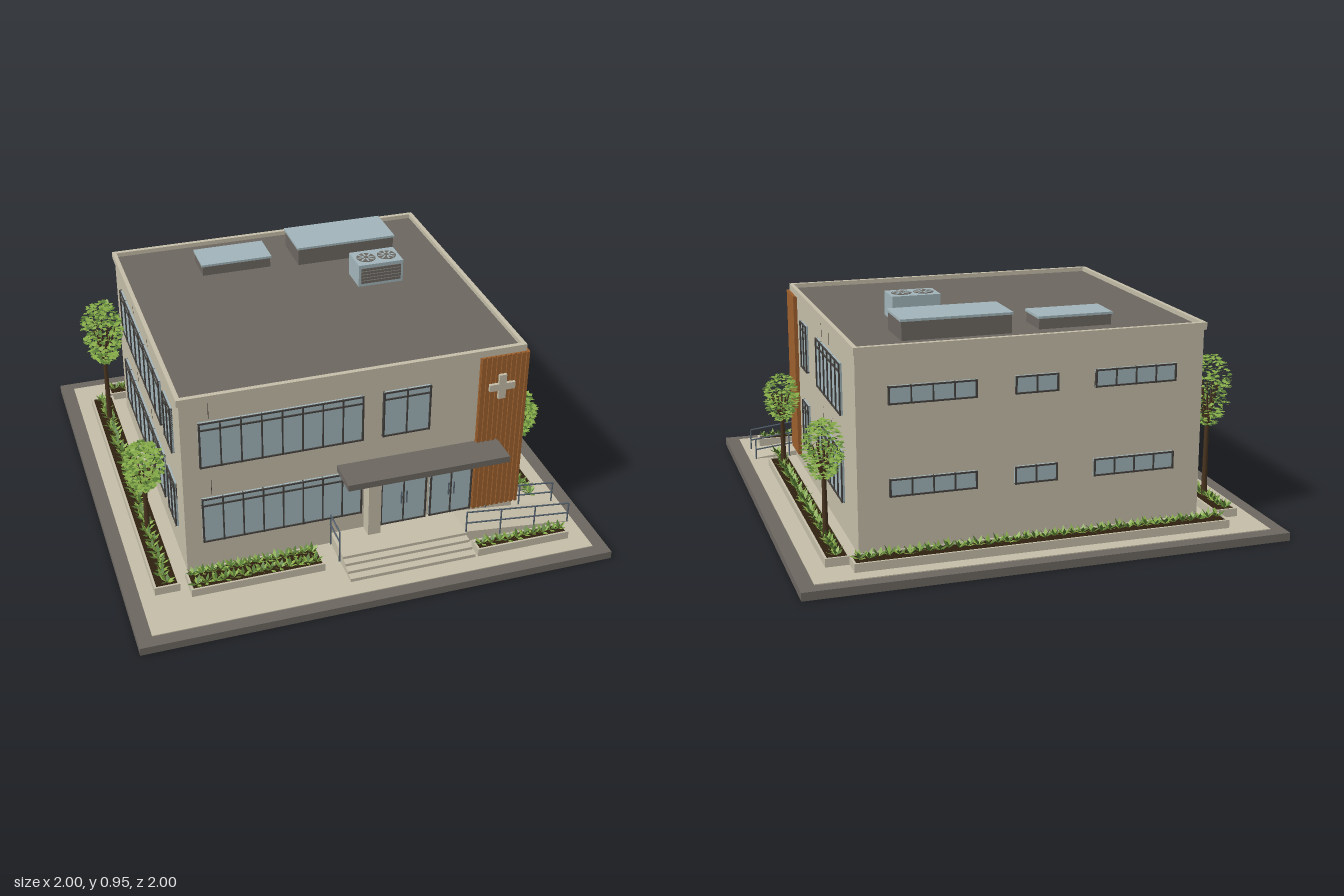
import * as THREE from 'three';

const mat = (name, color, side = THREE.FrontSide) => {
  const m = new THREE.MeshStandardMaterial({ color, side });
  m.name = name;
  return m;
};
let seed = 7;
const rnd = () => (seed = (seed * 16807) % 2147483647) / 2147483647;
const spread = (r) => (rnd() * 2 - 1) * r;

export function createModel() {
  const M = {
    wall: mat('beige render', 0xc5bea9),
    grey: mat('dark grey', 0x6c6760),
    glass: mat('blue grey glass', 0xa2b5ba),
    wood: mat('orange cladding', 0x9d602e),
    frame: mat('dark frame', 0x45423e),
    rail: mat('rail steel', 0x56636f),
    soil: mat('soil', 0x2e200f),
    bark: mat('bark', 0x4a3520),
    leaf: mat('leaf green', 0x86ab48, THREE.DoubleSide),
    darkLeaf: mat('dark leaf green', 0x587d34, THREE.DoubleSide),
  };
  const model = new THREE.Group();
  model.name = 'clinicBuilding';
  const group = (name, parent = model) => {
    const g = new THREE.Group();
    g.name = name;
    parent.add(g);
    return g;
  };
  const add = (parent, name, geo, m) => {
    const mesh = new THREE.Mesh(geo, m);
    mesh.name = name;
    parent.add(mesh);
    return mesh;
  };
  // Box given by its limits on each axis
  const box = (parent, name, m, x0, x1, y0, y1, z0, z1) => {
    const b = add(parent, name, new THREE.BoxGeometry(x1 - x0, y1 - y0, z1 - z0), m);
    b.position.set((x0 + x1) / 2, (y0 + y1) / 2, (z0 + z1) / 2);
    return b;
  };
  // Round bar between two points
  const bar = (parent, name, m, a, b, r0, r1 = r0, sides = 6) => {
    const p = new THREE.Vector3(...a), d = new THREE.Vector3(...b).sub(p);
    const c = add(parent, name, new THREE.CylinderGeometry(r1, r0, d.length(), sides), m);
    c.position.copy(p).addScaledVector(d, 0.5);
    c.quaternion.setFromUnitVectors(new THREE.Vector3(0, 1, 0), d.normalize());
  };
  // Many diamond-shaped leaves in one mesh, upper side out; each leaf is [base, direction, length, width]
  const leaves = (parent, name, m, list) => {
    const pos = [];
    for (const [p, d, len, w] of list) {
      d.normalize();
      const s = new THREE.Vector3(-d.z, spread(0.25), d.x).normalize().multiplyScalar(w / 2);
      const mid = p.clone().addScaledVector(d, len * 0.5), tip = p.clone().addScaledVector(d, len);
      const l = mid.clone().add(s), r = mid.clone().sub(s);
      for (const v of [p, l, r, l, tip, r]) pos.push(v.x, v.y, v.z);
    }
    const g = new THREE.BufferGeometry();
    g.setAttribute('position', new THREE.Float32BufferAttribute(pos, 3));
    g.computeVertexNormals();
    add(parent, name, g, m);
  };

  // Site
  box(model, 'road', M.grey, -1, 1, 0, 0.034, -1, 1);
  box(model, 'pavement', M.wall, -0.94, 0.94, 0.03, 0.038, -0.945, 0.945);

  // Main block, parapet and roof
  box(model, 'walls', M.wall, -0.72, 0.72, 0.03, 0.835, -0.715, 0.6);
  const parapet = group('parapet');
  box(parapet, 'parapetFront', M.wall, -0.73, 0.725, 0.835, 0.865, 0.587, 0.607);
  box(parapet, 'parapetBack', M.wall, -0.73, 0.725, 0.835, 0.865, -0.722, -0.702);
  box(parapet, 'parapetLeft', M.wall, 0.707, 0.725, 0.835, 0.865, -0.702, 0.587);
  box(parapet, 'parapetRight', M.wall, -0.73, -0.712, 0.835, 0.865, -0.702, 0.587);
  box(model, 'roof', M.grey, -0.712, 0.707, 0.834, 0.846, -0.702, 0.587);

  // Windows, drawn on a wall's own plane
  const wallPlane = (name, x, z, ry) => {
    const g = group(name);
    g.position.set(x, 0, z);
    g.rotation.y = ry;
    return g;
  };
  const windowUnit = (wall, name, x0, x1, y0, y1, n, transom = true) => {
    const g = group(name, wall), t = 0.0036;
    box(g, 'glass', M.glass, x0, x1, y0, y1, -0.002, 0.008);
    for (let i = 0; i <= n; i++) {
      const x = x0 + t + ((x1 - x0 - 2 * t) * i) / n, w = i % n ? t * 0.8 : t;
      box(g, 'mullion', M.frame, x - w, x + w, y0, y1, 0, 0.014);
    }
    for (const y of [y0 + t, y1 - t, ...(transom ? [y1 - 0.034] : [])])
      box(g, 'crossBar', M.frame, x0, x1, y - t * 0.9, y + t * 0.9, 0, 0.013);
    return g;
  };
  const joint = (wall, x, y0, y1) => box(wall, 'wallJoint', M.frame, x - 0.0012, x + 0.0012, y0, y1, 0, 0.001);
  const front = wallPlane('frontWindows', 0, 0.6, 0);
  const back = wallPlane('backWindows', 0, -0.715, Math.PI);
  const left = wallPlane('leftWindows', 0.72, 0, Math.PI / 2);
  const right = wallPlane('rightWindows', -0.72, 0, -Math.PI / 2);
  for (const [y0, y1] of [[0.173, 0.388], [0.537, 0.748]]) {
    windowUnit(front, 'longWindow', -0.65, 0.028, y0, y1, 8);
    windowUnit(left, 'longWindow', 0.015, 0.485, y0, y1, 6);
    windowUnit(left, 'smallWindow', -0.335, -0.205, y0, y1, 2);
    windowUnit(right, 'longWindow', -0.57, 0.26, y0, y1, 8);
    windowUnit(right, 'smallWindow', 0.33, 0.47, y0, y1, 2);
    for (const [x0, x1, n] of [[-0.595, -0.24, 4], [-0.085, 0.095, 2], [0.25, 0.6, 4]])
      windowUnit(back, 'stripWindow', x0, x1, y0 > 0.5 ? 0.633 : 0.263, y0 > 0.5 ? 0.707 : 0.337, n, false);
    for (const x of [0.095, 0.25]) joint(left, x, y1 + 0.02, y1 + 0.08);
    for (const x of [-0.3, 0]) joint(right, x, y1 + 0.02, y1 + 0.08);
    joint(front, -0.605, y1 + 0.01, y1 + 0.08);
  }
  windowUnit(front, 'upperWindow', 0.11, 0.315, 0.537, 0.748, 2);

  // Entrance doors with handles
  for (const [x0, x1] of [[0.11, 0.315], [0.33, 0.52]]) {
    const d = windowUnit(front, 'doubleDoor', x0, x1, 0.09, 0.388, 2);
    for (const s of [-1, 1]) {
      const x = (x0 + x1) / 2 + s * 0.012;
      box(d, 'doorHandle', M.rail, x - 0.0025, x + 0.0025, 0.19, 0.25, 0.014, 0.02);
    }
  }

  // Corner cladding with shallow upright fins on its front
  const cladding = group('cornerCladding');
  box(cladding, 'backing', M.wood, 0.525, 0.737, 0.09, 0.835, 0.45, 0.612);
  for (let i = 0; i < 10; i++) {
    const x = 0.527 + i * 0.0216;
    box(cladding, 'frontFin', M.wood, x, x + 0.013, 0.09, 0.835, 0.61, 0.619);
  }
  const cross = group('crossSign');
  box(cross, 'crossBarWide', M.wall, 0.562, 0.674, 0.68, 0.711, 0.618, 0.632);
  box(cross, 'crossBarTall', M.wall, 0.602, 0.634, 0.64, 0.752, 0.618, 0.632);

  // Canopy with its support
  box(model, 'canopy', M.grey, -0.08, 0.62, 0.402, 0.43, 0.6, 0.75);
  box(model, 'canopyPier', M.wall, 0.04, 0.095, 0.04, 0.402, 0.59, 0.66);

  // Landing, steps and ramp
  const steps = group('entranceSteps');
  [0.767, 0.8, 0.834, 0.868].forEach((z, i) =>
    box(steps, 'step', M.wall, -0.105, 0.44, 0.034, 0.09 - i * 0.0125, 0.6, z));
  const slope = new THREE.Shape([[0.44, 0.034], [0.92, 0.034], [0.92, 0.04], [0.44, 0.09]].map((p) => new THREE.Vector2(...p)));
  add(model, 'ramp', new THREE.ExtrudeGeometry(slope, { depth: 0.15, bevelEnabled: false }), M.wall).position.z = 0.61;

  // Hand rails
  const rails = group('handRails'), rr = 0.0034;
  for (const z of [0.603, 0.76]) {
    for (const [a, b] of [[0.19, 0.135], [0.135, 0.085]])
      bar(rails, 'rampRail', M.rail, [0.44, a, z], [0.91, b, z], rr);
    for (let i = 0; i < 4; i++) {
      const x = 0.44 + i * 0.1567;
      bar(rails, 'rampPost', M.rail, [x, 0.036, z], [x, 0.19 - i * 0.0183, z], rr);
    }
  }
  for (const y of [0.14, 0.19]) bar(rails, 'landingRail', M.rail, [-0.108, y, 0.605], [-0.108, y, 0.73], rr);
  for (const z of [0.61, 0.73]) bar(rails, 'landingPost', M.rail, [-0.108, 0.04, z], [-0.108, 0.19, z], rr);

  // Planters with rows of leafy tufts; overrun carries the row on past the far kerb
  const planter = (x0, x1, z0, z1, rows, overrun = 0) => {
    const g = group('planter'), t = 0.009, h = 0.073;
    box(g, 'kerb', M.wall, x0, x1, 0.034, h, z0, z0 + t);
    box(g, 'kerb', M.wall, x0, x1, 0.034, h, z1 - t, z1);
    box(g, 'kerb', M.wall, x0, x0 + t, 0.034, h, z0 + t, z1 - t);
    box(g, 'kerb', M.wall, x1 - t, x1, 0.034, h, z0 + t, z1 - t);
    box(g, 'soilBed', M.soil, x0 + t, x1 - t, 0.034, 0.068, z0 + t, z1 - t);
    const alongX = x1 - x0 > z1 - z0, len = Math.max(x1 - x0, z1 - z0) - 0.06 + overrun;
    const wide = Math.min(x1 - x0, z1 - z0), n = Math.round(len / 0.04), sets = [[], []];
    for (let r = 0; r < rows; r++) for (let i = 0; i <= n; i++) {
      const u = (i / n - 0.5) * len + overrun / 2, v = rows > 1 ? (r / (rows - 1) - 0.5) * (wide - 0.066) : spread(0.008);
      const c = new THREE.Vector3((x0 + x1) / 2 + (alongX ? u : v), 0.07, (z0 + z1) / 2 + (alongX ? v : u));
      for (let k = 0; k < 8; k++) {
        const a = k * 0.785 + rnd(), d = new THREE.Vector3(Math.cos(a), k % 2 ? 0.35 + rnd() * 0.4 : 1 + rnd(), Math.sin(a));
        sets[k % 3 ? 0 : 1].push([c.clone(), d, 0.036 + rnd() * 0.012, 0.016]);
      }
    }
    leaves(g, 'plants', M.leaf, sets[0]);
    leaves(g, 'darkPlants', M.darkLeaf, sets[1]);
  };
  planter(-0.88, -0.775, -0.77, 0.715, 1);
  planter(0.77, 0.87, -0.8, 0.5, 1, 0.1);
  planter(-0.785, 0.775, -0.885, -0.785, 1);
  planter(-0.74, -0.18, 0.64, 0.768, 2);
  planter(0.452, 0.863, 0.798, 0.868, 1);

  // Trees: trunk, fanned branches and a crown of small flat leaves
  const tree = (x, z, mid, half, r) => {
    const g = group('tree'), low = mid - half, sets = [[], []];
    g.position.set(x, 0, z);
    bar(g, 'trunk', M.bark, [0, 0.05, 0], [0, low + 0.03, 0], 0.013, 0.009, 7);
    for (let i = 0; i < 9; i++) {
      const a = i * 2.4, q = r * (0.3 + 0.35 * (i % 3) / 2);
      bar(g, 'branch', M.bark, [0, low - 0.01, 0], [Math.cos(a) * q, mid + half * 0.25, Math.sin(a) * q], 0.006, 0.002, 5);
    }
    for (let i = 0; i < 560; i++) {
      const y = spread(1), a = rnd() * Math.PI * 2, s = 0.25 + 0.7 * Math.sqrt(rnd());
      const q = Math.sqrt(1 - y * y) * s * r * (0.9 + 0.12 * y);
      const p = new THREE.Vector3(Math.cos(a) * q, mid + y * half * 0.97, Math.sin(a) * q);
      const d = new THREE.Vector3(Math.cos(a) + spread(0.8), spread(0.4), Math.sin(a) + spread(0.8));
      sets[i % 3 ? 0 : 1].push([p, d, 0.025, 0.02]);
    }
    leaves(g, 'crown', M.leaf, sets[0]);
    leaves(g, 'crownShade', M.darkLeaf, sets[1]);
  };
  tree(-0.825, -0.57, 0.54, 0.155, 0.095);
  tree(-0.825, 0.31, 0.385, 0.11, 0.09);
  tree(0.82, -0.57, 0.435, 0.12, 0.085);
  tree(0.815, 0.4, 0.385, 0.105, 0.08);

  // Roof lights
  const rooflight = (x0, x1, z0, z1, y) => {
    const g = group('roofLight');
    box(g, 'upstand', M.grey, x0 + 0.005, x1 - 0.005, 0.84, y - 0.01, z0 + 0.005, z1 - 0.005);
    box(g, 'glazing', M.glass, x0, x1, y - 0.01, y, z0, z1);
  };
  rooflight(-0.385, -0.065, -0.565, -0.4, 0.9);
  rooflight(0.05, 0.51, -0.595, -0.375, 0.932);

  // Rooftop cooling unit with two fans and louvres
  const cooler = group('coolingUnit');
  box(cooler, 'casing', M.glass, 0.245, 0.45, 0.84, 0.948, -0.235, -0.1);
  for (let i = 0; i < 5; i++) box(cooler, 'louvre', M.grey, 0.256, 0.439, 0.86 + i * 0.015, 0.872 + i * 0.015, -0.1, -0.096);
  for (const x of [0.3, 0.395]) {
    const fan = group('fan', cooler);
    fan.position.set(x, 0.948, -0.167);
    add(fan, 'fanWell', new THREE.CylinderGeometry(0.042, 0.042, 0.004, 24), M.grey);
    add(fan, 'fanHub', new THREE.CylinderGeometry(0.01, 0.01, 0.008, 12), M.grey);
    for (let i = 0; i < 4; i++)
      add(fan, 'fanBlade', new THREE.BoxGeometry(0.078, 0.006, 0.007), M.glass).rotation.y = (i * Math.PI) / 4;
  }
  return model;
}
